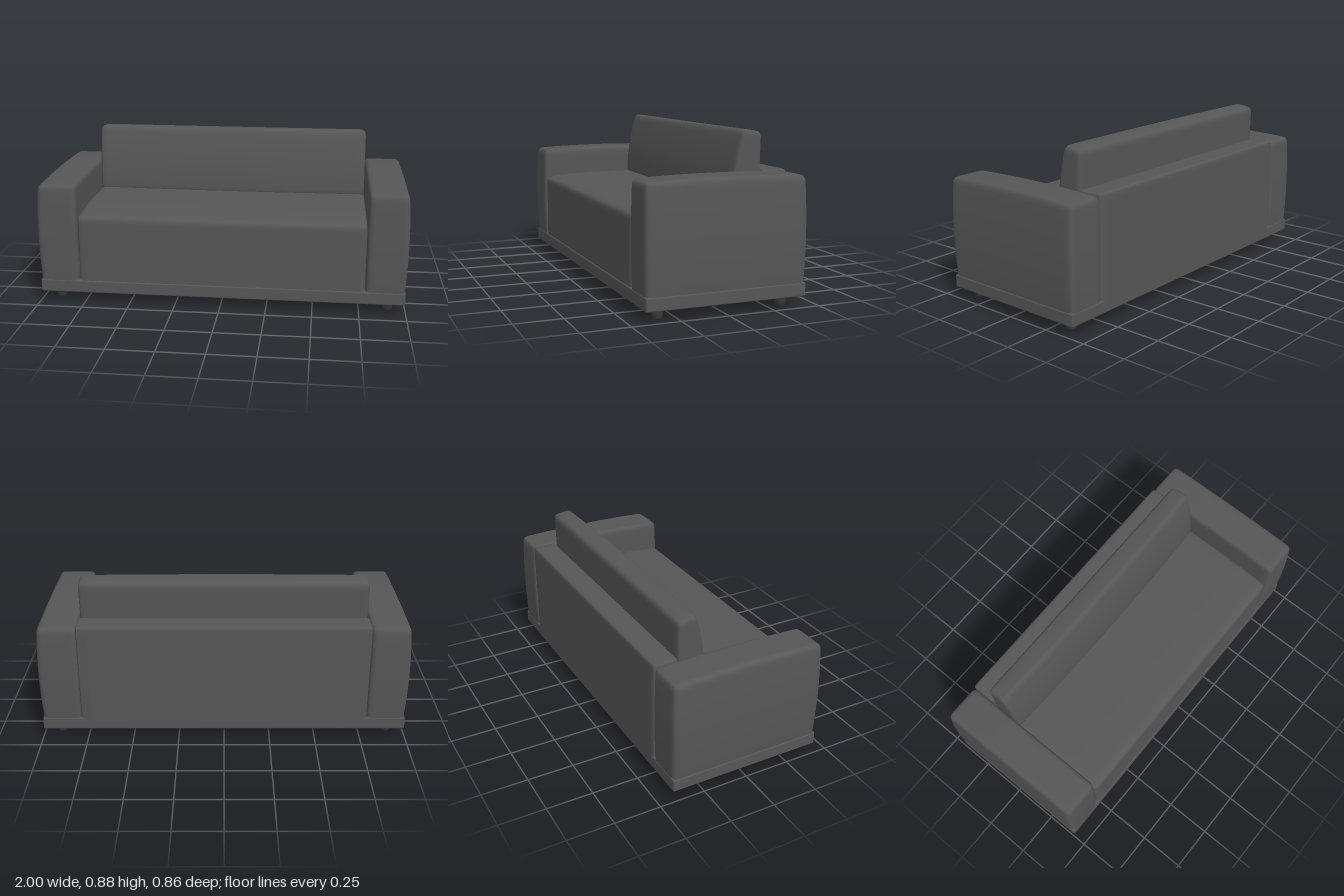
import * as THREE from 'three';
import { mergeVertices } from 'three/addons/utils/BufferGeometryUtils.js';

const upholstery = new THREE.MeshStandardMaterial({ color: 0x565656 });
upholstery.name = 'charcoal upholstery';
const legPaint = new THREE.MeshStandardMaterial({ color: 0x363636 });
legPaint.name = 'dark leg';

// Rounded box between two corners, optionally reshaped by a rule.
// The rule gets the point and its position within the box, from -1 to 1.
function softBox(name, min, max, radius, reshape) {
  const lo = new THREE.Vector3(...min), hi = new THREE.Vector3(...max);
  const half = hi.clone().sub(lo).multiplyScalar(0.5);
  const centre = hi.clone().add(lo).multiplyScalar(0.5);
  const core = half.clone().subScalar(radius);
  const coreMin = core.clone().negate();
  let geo = new THREE.BoxGeometry(2, 2, 2, 24, 24, 24);
  geo.deleteAttribute('uv');
  geo.deleteAttribute('normal');
  geo = mergeVertices(geo);
  const pos = geo.attributes.position;
  const p = new THREE.Vector3(), q = new THREE.Vector3(), u = new THREE.Vector3();
  for (let i = 0; i < pos.count; i++) {
    p.fromBufferAttribute(pos, i);
    // crowd the grid towards the edges
    for (const a of ['x', 'y', 'z']) p[a] = Math.sin(p[a] * Math.PI / 2) * half[a];
    // round the edges: keep every point one radius away from the inner core
    q.copy(p).clamp(coreMin, core);
    p.sub(q).setLength(radius).add(q);
    u.copy(p).divide(half);
    p.add(centre);
    if (reshape) reshape(p, u);
    pos.setXYZ(i, p.x, p.y, p.z);
  }
  geo.computeVertexNormals();
  const mesh = new THREE.Mesh(geo, upholstery);
  mesh.name = name;
  return mesh;
}

export function createModel() {
  const sofa = new THREE.Group();
  sofa.name = 'sofa';

  // Plinth under everything
  sofa.add(softBox('base', [-0.994, 0.055, -0.425], [0.994, 0.126, 0.427], 0.008));

  // Padded arms: crowned top and gently bulging sides
  for (const side of [-1, 1]) {
    const inner = side * 0.78, outer = side * 0.987;
    sofa.add(softBox(side > 0 ? 'leftArm' : 'rightArm',
      [Math.min(inner, outer), 0.08, -0.421], [Math.max(inner, outer), 0.662, 0.423], 0.028,
      (p, u) => {
        const swell = 1 - u.y * u.y;
        p.x += side * 0.013 * swell * Math.max(0, u.x * side);
        p.z += 0.007 * u.z * swell;
        p.y += 0.011 * Math.max(0, u.y) * (1 - u.z * u.z);
      }));
  }

  // Back frame between the arms
  sofa.add(softBox('backFrame', [-0.782, 0.08, -0.425], [0.782, 0.671, -0.285], 0.018));

  // Seat block, dropping softly towards the front edge
  sofa.add(softBox('seat', [-0.779, 0.08, -0.3], [0.779, 0.513, 0.422], 0.03, (p, u) => {
    p.y -= 0.022 * Math.max(0, u.y) * Math.max(0, (p.z - 0.12) / 0.3) ** 2;
  }));

  // Back cushion: flat behind, leaning and bowed in front
  const bottom = 0.495, top = 0.876, back = -0.287;
  sofa.add(softBox('backCushion', [-0.775, bottom, back], [0.775, top, -0.105], 0.03, (p, u) => {
    const t = (p.y - bottom) / (top - bottom);
    const front = -0.12 - 0.06 * t * t + 0.014 * (1 - u.x * u.x);
    const k = (u.z + 1) / 2;
    p.z = back + k * (front - back) + 0.006 * (1 - k) * (1 - t);
    p.y -= 0.016 * Math.max(0, u.y) * (1 - k) ** 2;
  }));

  // Short tapered legs
  const legProfile = [[0, 0], [0.023, 0], [0.027, 0.005], [0.033, 0.06], [0, 0.06]]
    .map(([r, y]) => new THREE.Vector2(r, y));
  const legGeo = new THREE.LatheGeometry(legProfile, 16);
  for (const x of [-0.905, 0.905]) {
    for (const z of [-0.332, 0.337]) {
      const leg = new THREE.Mesh(legGeo, legPaint);
      leg.name = (z > 0 ? 'front' : 'back') + (x > 0 ? 'Left' : 'Right') + 'Leg';
      leg.position.set(x, 0, z);
      sofa.add(leg);
    }
  }
  return sofa;
}
